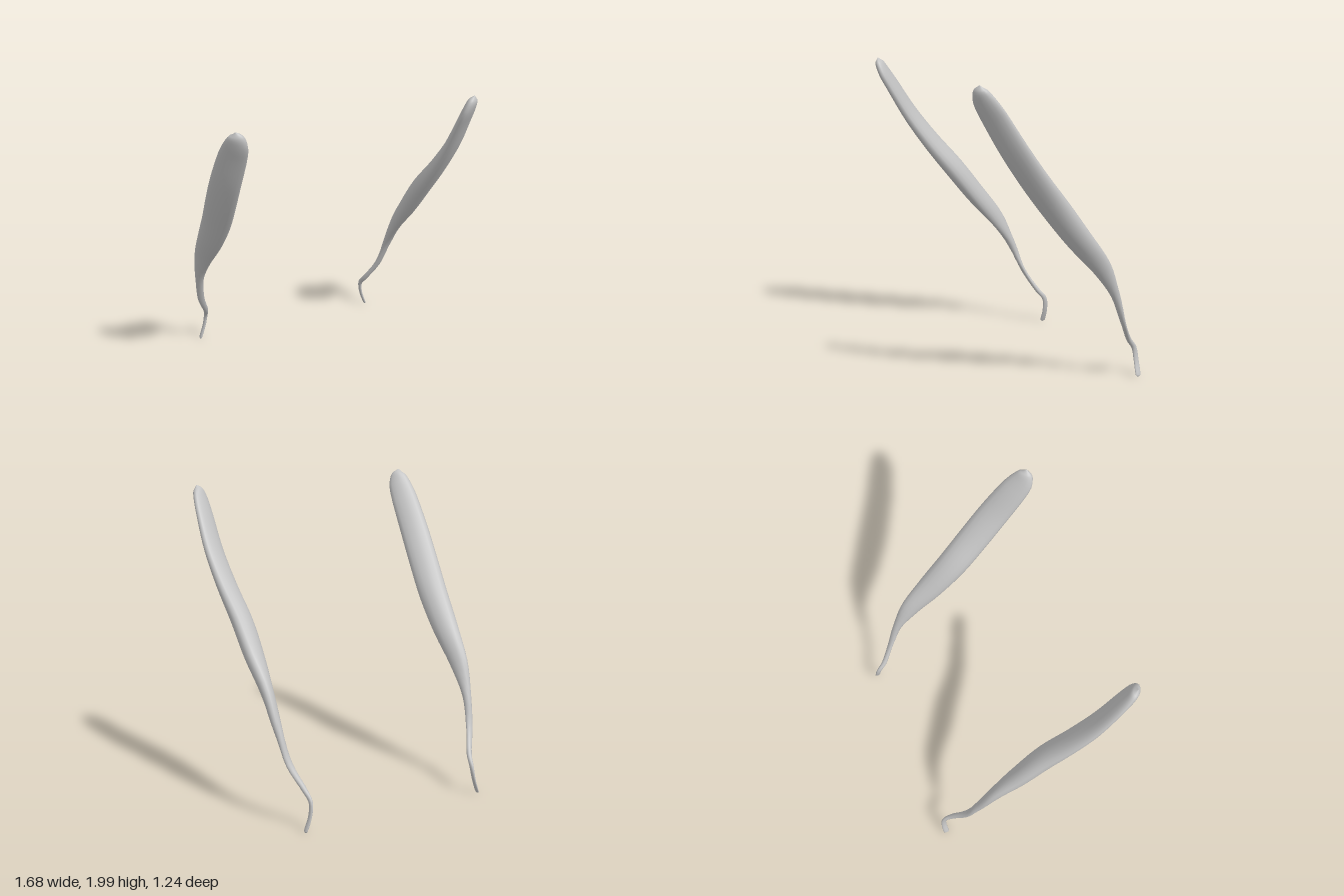
import * as THREE from 'three';

// Stations from the thin hooked end to the blunt top:
// centre x, y, z, half width, half thickness, twist in degrees
const STATIONS = [
  [0.646, 0.0, -0.6, 0, 0, 0],
  [0.642, 0.012, -0.6, 0.007, 0.018, 0],
  [0.612, 0.1, -0.602, 0.009, 0.018, 0],
  [0.6, 0.19, -0.59, 0.012, 0.017, 0],
  [0.615, 0.255, -0.54, 0.017, 0.016, 0],
  [0.672, 0.4, -0.456, 0.023, 0.014, 0],
  [0.703, 0.6, -0.375, 0.029, 0.027, -40],
  [0.712, 0.8, -0.262, 0.063, 0.04, -58],
  [0.716, 1.0, -0.095, 0.085, 0.058, -45],
  [0.722, 1.2, 0.065, 0.095, 0.062, -40],
  [0.745, 1.4, 0.228, 0.097, 0.052, -37],
  [0.76, 1.6, 0.374, 0.095, 0.043, -36],
  [0.758, 1.8, 0.5, 0.087, 0.036, -36],
  [0.756, 1.895, 0.56, 0.073, 0.033, -36],
  [0.762, 1.957, 0.588, 0.046, 0.026, -36],
  [0.77, 1.99, 0.595, 0, 0, -36],
];
const SIDES = 16;
const STEPS = 4 * (STATIONS.length - 1);

// Loft of twisted ellipses along the centre line; side = 1 (left) or -1 (right)
function muscleGeometry(side) {
  const path = new THREE.CatmullRomCurve3(STATIONS.map(([x, y, z]) => new THREE.Vector3(x, y, z)));
  const size = new THREE.CatmullRomCurve3(
    STATIONS.map(([, , , a, b, d]) => new THREE.Vector3(a, b, THREE.MathUtils.degToRad(d))), false, 'catmullrom');
  const positions = [];
  const indices = [];
  for (let i = 0; i <= STEPS; i++) {
    const t = i / STEPS;
    const centre = path.getPoint(t);
    const tangent = path.getTangent(t);
    const across = new THREE.Vector3(1, 0, 0).addScaledVector(tangent, -tangent.x).normalize();
    const depth = across.clone().cross(tangent);
    const s = size.getPoint(t);
    const a = Math.max(0, s.x), b = Math.max(0, s.y);
    for (let j = 0; j < SIDES; j++) {
      const angle = (j / SIDES) * Math.PI * 2;
      const p = Math.cos(angle) * a, q = Math.sin(angle) * b;
      const u = p * Math.cos(s.z) - q * Math.sin(s.z);
      const v = p * Math.sin(s.z) + q * Math.cos(s.z);
      const point = centre.clone().addScaledVector(across, u).addScaledVector(depth, v);
      positions.push(point.x * side, point.y, point.z);
      if (i === STEPS) continue;
      const k = i * SIDES + j, n = i * SIDES + ((j + 1) % SIDES);
      const quad = [k, k + SIDES, n, n, k + SIDES, n + SIDES];
      indices.push(...(side > 0 ? quad : quad.reverse()));
    }
  }
  const geometry = new THREE.BufferGeometry();
  geometry.setAttribute('position', new THREE.Float32BufferAttribute(positions, 3));
  geometry.setIndex(indices);
  geometry.computeVertexNormals();
  return geometry;
}

export function createModel() {
  const group = new THREE.Group();
  group.name = 'musclePair';
  const grey = new THREE.MeshStandardMaterial({ color: 0xc4c4c4 });
  grey.name = 'light grey';
  for (const [name, side] of [['leftMuscle', 1], ['rightMuscle', -1]]) {
    const mesh = new THREE.Mesh(muscleGeometry(side), grey);
    mesh.name = name;
    group.add(mesh);
  }
  return group;
}
